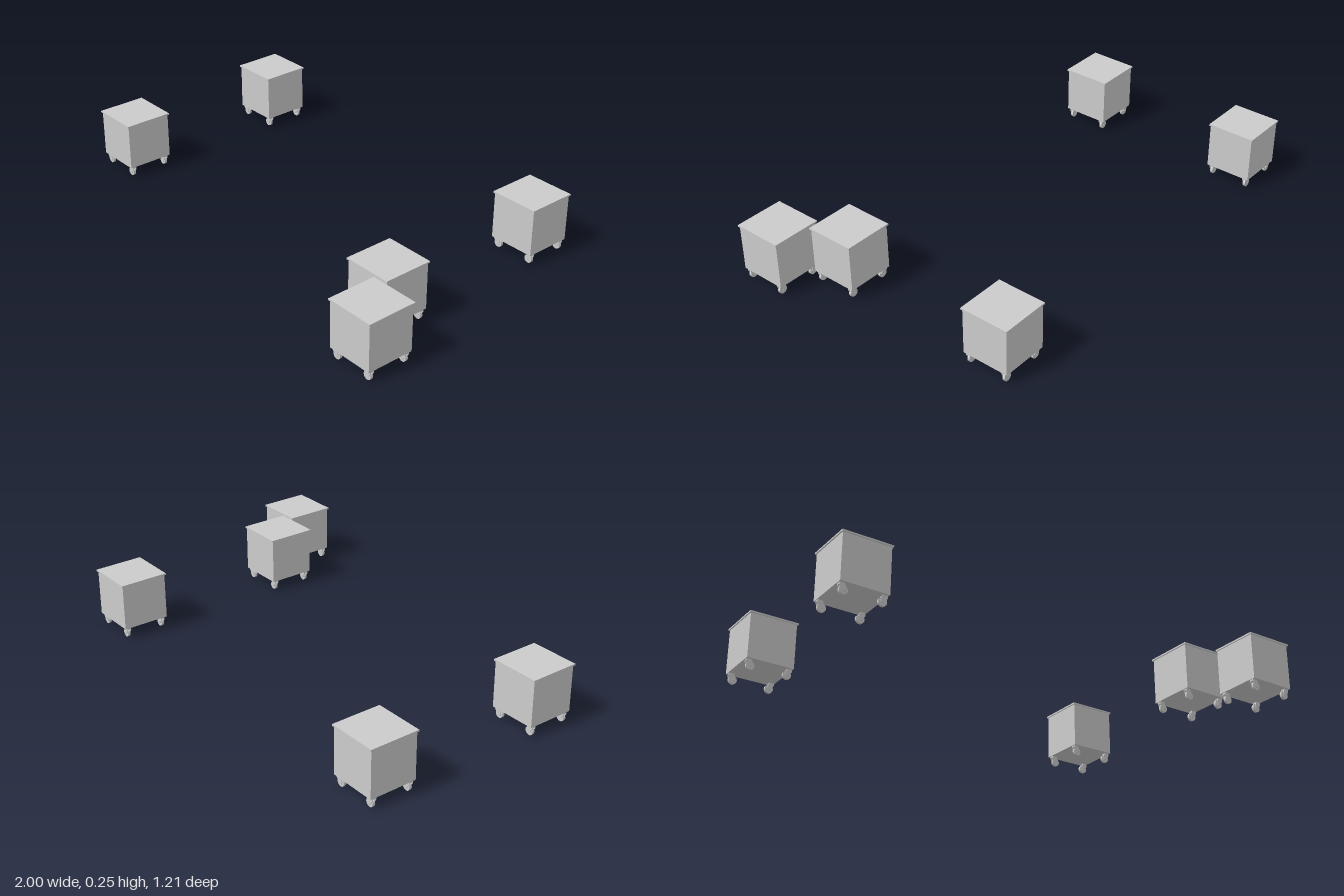
import * as THREE from 'three';

const material = new THREE.MeshStandardMaterial({ color: 0xcccccc });

function addMesh(parent, name, geometry, x = 0, y = 0, z = 0) {
  const mesh = new THREE.Mesh(geometry, material);
  mesh.name = name;
  mesh.position.set(x, y, z);
  parent.add(mesh);
  return mesh;
}

// Side outline of a fork cheek: leans from the outer mounting down to the axle
const cheekShape = new THREE.Shape([
  [-0.007, 0.012], [0.005, 0.012], [0.019, 0.034], [0.019, 0.046], [-0.002, 0.046], [-0.011, 0.022],
].map(([x, y]) => new THREE.Vector2(x, y)));
const cheekGeometry = new THREE.ExtrudeGeometry(cheekShape, { depth: 0.003, bevelEnabled: false });
const wheelGeometry = new THREE.CylinderGeometry(0.018, 0.018, 0.011, 20).rotateX(Math.PI / 2);
const axleGeometry = new THREE.CylinderGeometry(0.004, 0.004, 0.019, 10).rotateX(Math.PI / 2);
const bridgeGeometry = new THREE.BoxGeometry(0.019, 0.008, 0.018);

// Caster with its mounting on the +x side of the wheel
function createCaster() {
  const caster = new THREE.Group();
  caster.name = 'caster';
  addMesh(caster, 'wheel', wheelGeometry, 0, 0.018, 0);
  addMesh(caster, 'axle', axleGeometry, 0, 0.018, 0);
  addMesh(caster, 'forkBridge', bridgeGeometry, 0.009, 0.042, 0);
  addMesh(caster, 'forkCheekFront', cheekGeometry, 0, 0, 0.006);
  addMesh(caster, 'forkCheekBack', cheekGeometry, 0, 0, -0.009);
  return caster;
}

const bodyGeometry = new THREE.BoxGeometry(0.204, 0.198, 0.204);
const lidGeometry = new THREE.BoxGeometry(0.214, 0.007, 0.214);

// Closed cabinet with an overhanging top and a caster at each corner
function createCabinet() {
  const cabinet = new THREE.Group();
  cabinet.name = 'cabinet';
  addMesh(cabinet, 'body', bodyGeometry, 0, 0.144, 0);
  addMesh(cabinet, 'top', lidGeometry, 0, 0.2465, 0);
  for (const sx of [-1, 1]) {
    for (const sz of [-1, 1]) {
      const caster = createCaster();
      caster.position.set(sx * 0.08, 0, sz * 0.083);
      if (sx < 0) caster.rotation.y = Math.PI;
      cabinet.add(caster);
    }
  }
  return cabinet;
}

export function createModel() {
  const model = new THREE.Group();
  model.name = 'rollingCabinets';
  const places = [[-0.893, -0.491], [-0.893, 0.281], [0.733, -0.5], [0.733, 0.273], [0.893, 0.5]];
  for (const [x, z] of places) {
    const cabinet = createCabinet();
    cabinet.position.set(x, 0, z);
    model.add(cabinet);
  }
  return model;
}
